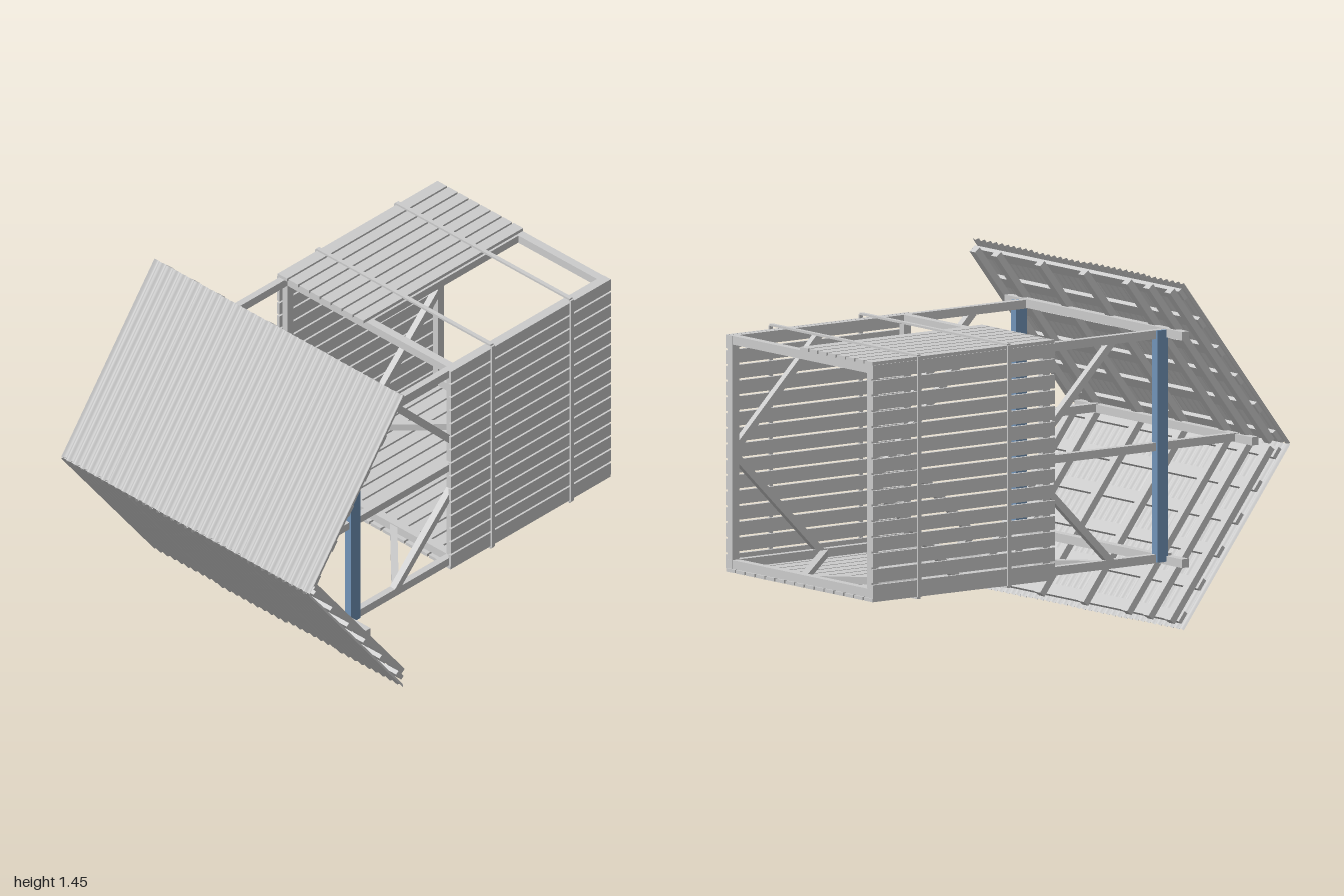
import * as THREE from 'three';

const grey = new THREE.MeshStandardMaterial({ color: 0xcccccc, flatShading: true });
const blue = new THREE.MeshStandardMaterial({ color: 0x7194b8, flatShading: true });
const tin = new THREE.MeshStandardMaterial({ color: 0xcccccc, side: THREE.DoubleSide });

const MID = 0.735;            // height of the tower axis
const BACK = -1, FRONT = -0.06; // ends of the planked box

function box(parent, name, x, y, z, w, h, d, mat = grey) {
  const m = new THREE.Mesh(new THREE.BoxGeometry(w, h, d), mat);
  m.name = name;
  m.position.set(x, y, z);
  parent.add(m);
  return m;
}

// square timber between two points
function strut(parent, name, a, b, t = 0.03) {
  const p = new THREE.Vector3(...a), q = new THREE.Vector3(...b);
  const m = box(parent, name, 0, 0, 0, t, t, p.distanceTo(q));
  m.position.copy(p).add(q).multiplyScalar(0.5);
  m.lookAt(q);
}

// boards along z, built in a wall plane facing local +y, plus two cross battens
function wall(name, from, to, count) {
  const g = new THREE.Group();
  g.name = name;
  const step = (to - from) / count;
  for (let i = 0; i < count; i++) {
    box(g, 'plank', from + (i + 0.5) * step, 0, (BACK + FRONT) / 2, step - 0.009, 0.014, FRONT - BACK);
  }
  for (const z of [-0.765, -0.3]) box(g, 'batten', 0, 0.011, z, 1.0, 0.009, 0.018);
  return g;
}

// corrugated sheet, waves across x, running along z
function sheet(x0, x1, z0, z1, y) {
  const n = Math.round((x1 - x0) / 0.04 * 8);
  const geo = new THREE.PlaneGeometry(x1 - x0, Math.abs(z1 - z0), n, 1);
  geo.rotateX(-Math.PI / 2);
  geo.translate((x0 + x1) / 2, 0, (z0 + z1) / 2);
  const p = geo.attributes.position;
  for (let i = 0; i < p.count; i++) p.setY(i, y + 0.007 * Math.cos(p.getX(i) * Math.PI * 2 / 0.04));
  geo.computeVertexNormals();
  const m = new THREE.Mesh(geo, tin);
  m.name = 'corrugatedSheet';
  return m;
}

// one roof slope: local y is outward, s gives the downhill direction on local z
function roofSlope(name, angle, s, seams) {
  const g = new THREE.Group();
  g.name = name;
  g.position.set(0, 0.73, 0.985);
  g.rotation.x = angle;
  seams.forEach(([a, b], i) => g.add(sheet(a, b, 0, s * 0.905, (i % 2) * 0.005)));
  for (let i = 0; i < 6; i++) box(g, 'purlin', 0, -0.02, s * (0.06 + i * 0.16), 1.4, 0.018, 0.05);
  for (const x of [-0.665, -0.52, -0.375, -0.08, 0.215, 0.51, 0.655]) {
    box(g, 'rafter', x, -0.044, s * 0.475, 0.038, 0.03, 0.85);
  }
  return g;
}

export function createModel() {
  const model = new THREE.Group();
  model.name = 'watchtowerHut';

  // planked walls; the upper one leaves a doorway on the left half
  const lower = wall('lowerWall', -0.5, 0.5, 15);
  lower.rotation.z = Math.PI;
  lower.position.y = 0.245;
  const upper = wall('doorWall', -0.5, 0.0, 8);
  upper.position.y = 1.23;
  model.add(lower, upper);
  for (const s of [-1, 1]) {
    const side = wall(s > 0 ? 'leftWall' : 'rightWall', -0.49, 0.49, 15);
    side.rotation.z = -s * Math.PI / 2;
    side.position.set(s * 0.492, MID + 0.003, 0);
    model.add(side);
  }

  // timber frame
  const frame = new THREE.Group();
  frame.name = 'frame';
  model.add(frame);
  for (const sx of [-1, 1]) {
    const x = sx * 0.471;
    for (const y of [0.272, 1.205]) {
      box(frame, 'cornerPost', x, y, -0.225, 0.03, 0.036, 1.55);
    }
    box(frame, 'gablePost', x, 0.738, 0.39, 0.03, 0.034, 1.02);
    box(frame, 'tieBeam', sx * 0.478, 0.74, 0.497, 0.036, 0.965, 0.055, blue);
    for (const z of [-0.98, -0.095]) box(frame, 'sideRail', x, MID, z, 0.03, 0.92, 0.036);
    // braces in the side walls and the lower wall
    for (const sy of [-1, 1]) {
      const y = MID + sy * 0.46;
      strut(frame, 'upperBrace', [x, y, 0.25], [x, y - sy * 0.345, -0.095]);
      strut(frame, 'lowerBrace', [x, y, -0.53], [x, y - sy * 0.45, -0.98]);
    }
    strut(frame, 'upperBrace', [x, 0.27, 0.24], [sx * 0.13, 0.27, -0.1]);
    strut(frame, 'lowerBrace', [x, 0.27, -0.51], [sx * 0.01, 0.27, -0.97]);
  }
  for (const y of [0.272, 1.205]) {
    box(frame, 'sill', 0, y, -0.98, 0.94, 0.036, 0.036);
    box(frame, 'topRail', 0, y, -0.095, 0.94, 0.036, 0.036);
  }
  box(frame, 'doorPost', -0.01, 1.205, -0.53, 0.03, 0.034, 0.88);

  // beams carrying the roof
  for (const y of [0.262, 1.208]) box(frame, 'eavesBeam', 0, y, 0.535, 1.2, 0.036, 0.036);
  box(frame, 'ridgeBeam', 0, 0.735, 0.895, 1.2, 0.034, 0.034);

  // pitched roof of overlapping sheets
  const tilt = Math.atan2(0.795, 0.607);
  model.add(
    roofSlope('upperRoof', tilt, -1, [[-0.715, -0.33], [-0.44, -0.05], [-0.06, 0.33], [0.32, 0.715]]),
    roofSlope('lowerRoof', Math.PI - tilt, 1, [[-0.715, -0.33], [-0.345, 0.05], [0.04, 0.43], [0.33, 0.715]])
  );
  return model;
}
